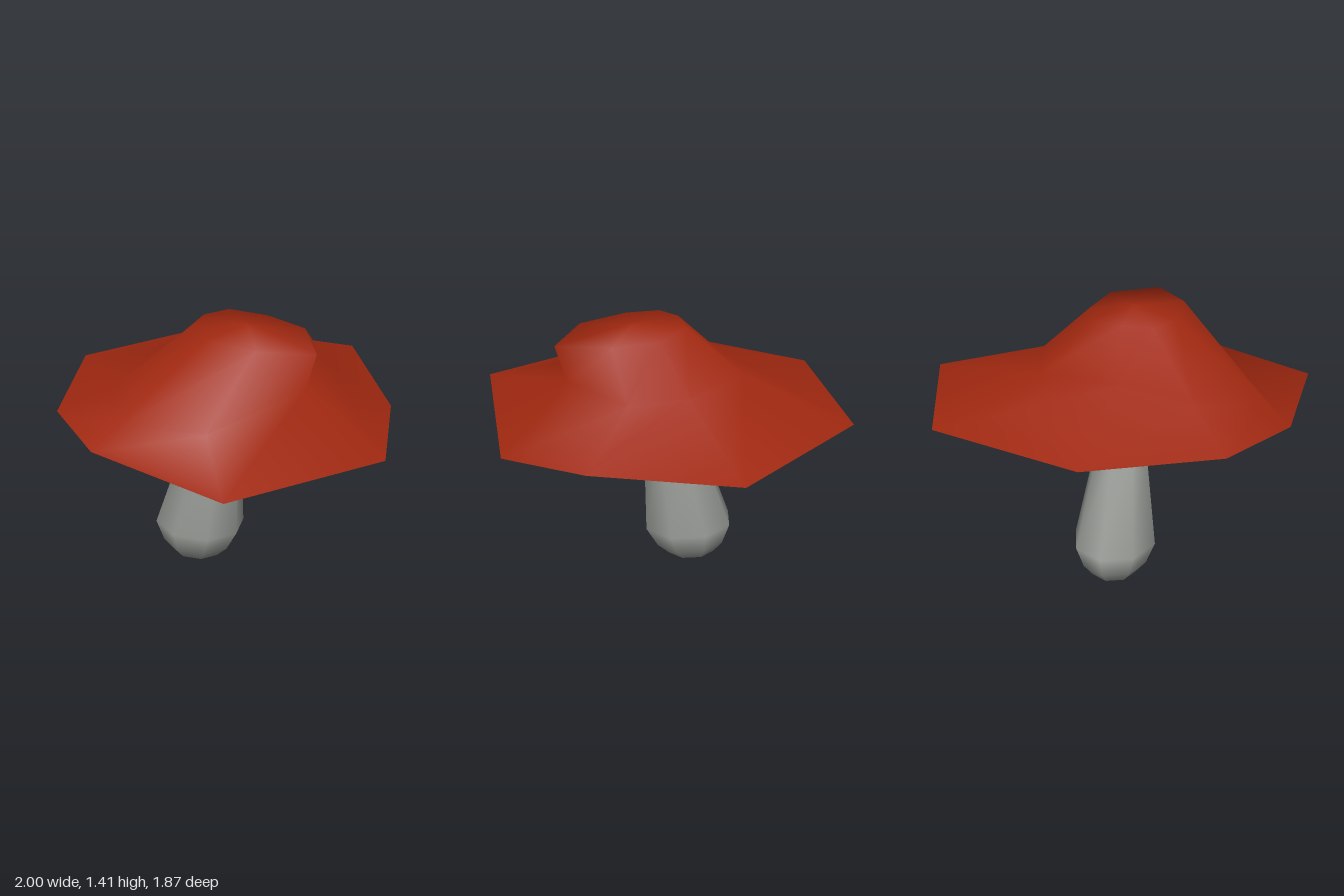
import * as THREE from 'three';

const red = new THREE.MeshStandardMaterial({ color: 0xa02810, side: THREE.DoubleSide });
red.name = 'capRed';
const tan = new THREE.MeshStandardMaterial({ color: 0xb5a27c, side: THREE.DoubleSide, flatShading: true });
tan.name = 'gillTan';
const grey = new THREE.MeshStandardMaterial({ color: 0x9c9f9a });
grey.name = 'stemGrey';

// Skin a list of closed rings, ordered from the underside outward and up
function loft(name, rings, material) {
  const n = rings[0].length, index = [];
  for (let i = 0; i < rings.length - 1; i++) {
    for (let j = 0; j < n; j++) {
      const k = (j + 1) % n;
      const a = i * n + j, b = i * n + k, c = a + n, d = b + n;
      index.push(a, c, b, b, c, d);
    }
  }
  const g = new THREE.BufferGeometry();
  g.setAttribute('position', new THREE.Float32BufferAttribute(rings.flat(2), 3));
  g.setIndex(index);
  g.computeVertexNormals();
  const mesh = new THREE.Mesh(g, material);
  mesh.name = name;
  return mesh;
}

// Elliptical ring, starting at the back and turning towards +x
function ellipse(n, cx, cz, rx, rz, height) {
  return Array.from({ length: n }, (_, j) => {
    const t = (j / n) * Math.PI * 2;
    const x = cx + rx * Math.sin(t), z = cz - rz * Math.cos(t);
    return [x, height(z, j), z];
  });
}

export function createModel() {
  const model = new THREE.Group();
  model.name = 'mushroom';

  // Cap: lopsided eight-sided brim, a shoulder, and a crown that overhangs in front
  const rim = [
    [-0.17, 1.0, -0.94], [0.67, 0.98, -0.73], [1.0, 0.945, 0.07], [0.48, 0.9, 0.66],
    [0, 0.84, 0.93], [-0.95, 0.91, 0.67], [-1.0, 0.96, -0.1], [-0.78, 0.975, -0.55],
  ];
  const shoulder = [
    [-0.16, 1.18, -0.36], [0.25, 1.17, -0.32], [0.37, 1.15, 0.05], [0.3, 1.14, 0.36],
    [-0.11, 1.15, 0.52], [-0.64, 1.04, 0.32], [-0.86, 1.06, -0.05], [-0.56, 1.12, -0.32],
  ];
  const crown = [
    [-0.12, 1.405, -0.12], [0.05, 1.395, -0.09], [0.13, 1.38, 0.1], [0.1, 1.375, 0.36],
    [-0.11, 1.35, 0.58], [-0.31, 1.375, 0.36], [-0.35, 1.38, 0.08], [-0.27, 1.395, -0.08],
  ];
  const peak = rim.map(() => [-0.1, 1.41, 0.15]);
  model.add(loft('capTop', [rim, shoulder, crown, peak], red));

  // Shallow hollow underside of the brim
  const inner = rim.map(([x, , z]) => [x * 0.6 - 0.04, 0.95 - 0.085 * z * 0.6, z * 0.6]);
  const hub = rim.map(() => [-0.1, 0.96, 0]);
  model.add(loft('capUnderside', [hub, inner, rim], red));

  // Gills: a shallow dish pleated into radial folds
  const pleats = 120;
  const dish = [
    // radius fraction, height, fold depth
    [0.12, 0.8, 0.0], [0.3, 0.775, 0.025], [0.52, 0.785, 0.03],
    [0.77, 0.815, 0.03], [0.95, 0.855, 0.03], [1, 0.895, 0.02],
  ];
  model.add(loft('gills', dish.map(([f, y, fold]) =>
    ellipse(pleats * 2, -0.1, 0, 0.74 * f, 0.66 * f,
      (z, j) => y - 0.05 * z + (j % 2) * fold)), tan));

  // Stem: bulbous at the foot, leaning forward as it rises
  const stem = [
    // y, centre z, x radius, z radius
    [0, -0.2, 0, 0], [0, -0.2, 0.125, 0.14], [0.065, -0.19, 0.18, 0.2],
    [0.185, -0.177, 0.225, 0.257], [0.7, -0.075, 0.137, 0.165],
    [0.79, -0.045, 0.135, 0.155], [0.92, -0.02, 0.13, 0.14],
  ];
  model.add(loft('stem', stem.map(([y, cz, rx, rz]) =>
    ellipse(8, -0.105, cz, rx, rz, () => y)), grey));

  return model;
}
